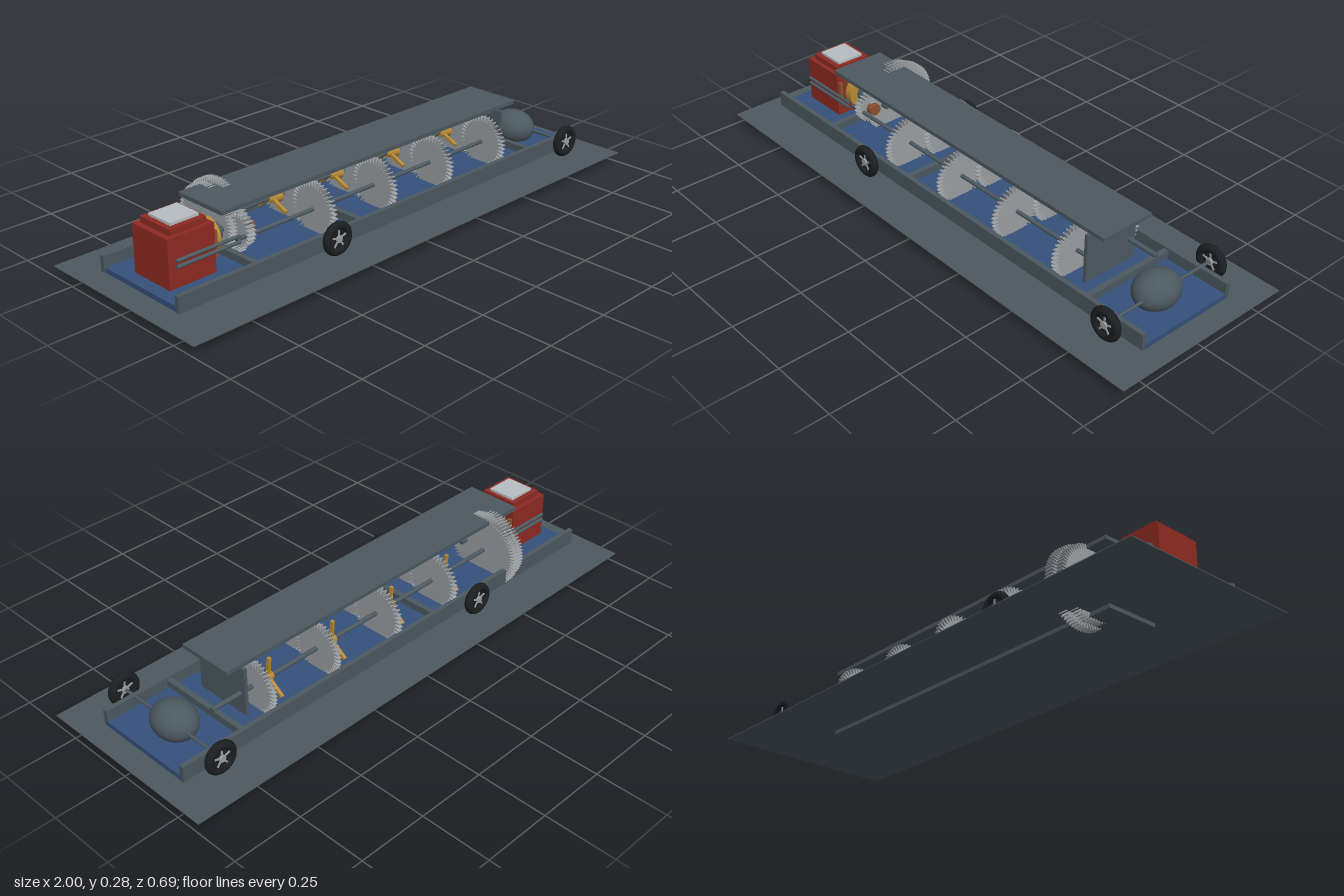
import * as THREE from 'three';

const mat = (color) => new THREE.MeshStandardMaterial({ color });
const slate = mat(0x4c5960), blue = mat(0x35507a), red = mat(0x8e2a22), pale = mat(0xb8bdc1);
const steel = mat(0x9a9fa2), gold = mat(0xb98a35), rubber = mat(0x1c1e20), copper = mat(0x8a5030);

export function createModel() {
  const root = new THREE.Group();

  const add = (name, geo, material, x, y, z, parent = root) => {
    const m = new THREE.Mesh(geo, material);
    m.name = name;
    m.position.set(x, y, z);
    parent.add(m);
    return m;
  };
  // box given by its extents
  const box = (name, material, x0, x1, y0, y1, z0, z1) =>
    add(name, new THREE.BoxGeometry(x1 - x0, y1 - y0, z1 - z0), material,
      (x0 + x1) / 2, (y0 + y1) / 2, (z0 + z1) / 2);
  // cylinder lying along x
  const rodX = (name, material, x0, x1, r, y, z, r2 = r) => {
    const g = new THREE.CylinderGeometry(r2, r, x1 - x0, 24);
    g.rotateZ(-Math.PI / 2);
    return add(name, g, material, (x0 + x1) / 2, y, z);
  };
  // cylinder lying along z
  const rodZ = (name, material, r, length, x, y, z, parent = root) => {
    const g = new THREE.CylinderGeometry(r, r, length, 24);
    g.rotateX(Math.PI / 2);
    return add(name, g, material, x, y, z, parent);
  };
  // toothed disc facing along x
  const gear = (name, x, y, z, r, teeth, width, tooth = 0.02) => {
    const s = new THREE.Shape();
    const step = (Math.PI * 2) / teeth;
    for (let i = 0; i < teeth; i++) {
      [[0, -tooth], [0.28, 0], [0.5, 0], [0.78, -tooth]].forEach(([t, d], k) => {
        const a = (i + t) * step, q = r + d;
        if (i + k === 0) s.moveTo(q * Math.cos(a), q * Math.sin(a));
        else s.lineTo(q * Math.cos(a), q * Math.sin(a));
      });
    }
    s.closePath();
    const g = new THREE.ExtrudeGeometry(s, { depth: width, bevelEnabled: false });
    g.translate(0, 0, -width / 2);
    g.rotateY(Math.PI / 2);
    return add(name, g, steel, x, y, z);
  };

  // ground sheet and tray chassis
  box('groundSheet', slate, -1, 1, 0.035, 0.038, -0.345, 0.345);
  box('trayFloor', blue, -0.925, 0.925, 0.048, 0.066, -0.185, 0.185);
  for (const s of [-1, 1]) {
    const rail = box('sideRail', slate, -0.93, 0.925, 0.05, 0.106, -0.0085, 0.0085);
    rail.position.z = s * 0.183;
  }
  for (const x of [-0.62, -0.18, 0.68]) {
    box('crossBeam', slate, x - 0.01, x + 0.01, 0.074, 0.099, -0.175, 0.175);
  }

  // gear case: top, bottom and end plates
  box('topPlate', slate, -0.69, 0.67, 0.253, 0.267, -0.103, 0.103);
  box('bottomPlate', slate, -0.69, 0.67, 0.021, 0.035, -0.1, 0.1);
  box('endPlate', slate, 0.594, 0.606, 0.038, 0.243, -0.107, 0.107);

  // wheels, with a through axle at the dome end
  for (const x of [-0.34, 0.815]) {
    for (const s of [-1, 1]) {
      const wheel = new THREE.Group();
      wheel.name = 'wheel';
      wheel.position.set(x, 0.104, s * 0.232);
      root.add(wheel);
      add('tyre', new THREE.TorusGeometry(0.0435, 0.0145, 14, 40), rubber, 0, 0, 0, wheel);
      rodZ('rimDisc', rubber, 0.036, 0.01, 0, 0, 0, wheel);
      rodZ('hub', steel, 0.012, 0.024, 0, 0, 0, wheel);
      for (let i = 0; i < 5; i++) {
        const spoke = add('spoke', new THREE.BoxGeometry(0.006, 0.03, 0.016), steel, 0, 0, 0, wheel);
        spoke.geometry.translate(0, 0.02, 0);
        spoke.rotation.z = (i * Math.PI * 2) / 5;
      }
      if (x < 0) rodZ('stubAxle', slate, 0.005, 0.045, x, 0.104, s * 0.207);
    }
  }
  rodZ('axle', slate, 0.0055, 0.46, 0.815, 0.104, 0);

  // dome at the tail
  const dome = add('dome', new THREE.SphereGeometry(1, 40, 28), slate, 0.8, 0.104, 0);
  dome.scale.set(0.072, 0.064, 0.085);

  // motor with stepped cap
  box('motorBody', red, -0.88, -0.705, 0.066, 0.232, -0.085, 0.085);
  box('motorStep', red, -0.86, -0.722, 0.232, 0.253, -0.07, 0.07);
  box('motorLid', pale, -0.842, -0.735, 0.253, 0.262, -0.052, 0.052);
  for (let i = 0; i < 6; i++) {
    const z = -0.075 + i * 0.03;
    box('motorFin', copper, -0.705, -0.692, 0.11, 0.2, z - 0.006, z + 0.006);
  }
  rodX('motorRing', gold, -0.692, -0.66, 0.06, 0.15, 0);
  rodX('motorCollar', slate, -0.66, -0.63, 0.03, 0.15, 0);
  rodX('motorShaft', slate, -0.63, -0.52, 0.01, 0.15, 0);
  for (const s of [-1, 1]) {
    rodX('guideRod', slate, -0.86, -0.62, 0.006, 0.162, s * 0.098);
    rodX('guideRod', slate, -0.86, -0.62, 0.006, 0.142, s * 0.098);
  }

  // large drive gears and their pinion
  gear('driveGear', -0.595, 0.141, -0.083, 0.13, 66, 0.028);
  gear('driveGear', -0.56, 0.141, -0.083, 0.14, 72, 0.03);
  gear('drivePinion', -0.57, 0.15, 0.045, 0.055, 22, 0.03, 0.012);
  rodX('pinionHub', copper, -0.555, -0.53, 0.022, 0.15, 0.045);

  // long shafts
  rodX('mainShaft', slate, -0.66, 0.72, 0.008, 0.142, -0.083);
  rodX('counterShaft', slate, -0.62, 0.6, 0.007, 0.142, 0.08);

  // gear pairs along the shafts, each with a three-armed selector
  for (const x of [-0.285, -0.01, 0.265, 0.54]) {
    gear('rearGear', x + 0.009, 0.142, -0.083, x < 0.1 ? 0.108 : 0.1, 42, 0.016);
    gear('frontGear', x - 0.009, 0.14, 0.08, 0.098, 40, 0.016);
    rodX('selectorHub', gold, x - 0.065, x - 0.017, 0.014, 0.142, -0.083, 0.024);
    for (let i = 0; i < 3; i++) {
      const arm = add('selectorArm', new THREE.BoxGeometry(0.011, 0.078, 0.011), gold, x - 0.05, 0.142, -0.083);
      arm.geometry.translate(0, 0.039, 0);
      arm.rotation.x = (i * Math.PI * 2) / 3 - 0.1;
    }
  }
  return root;
}
